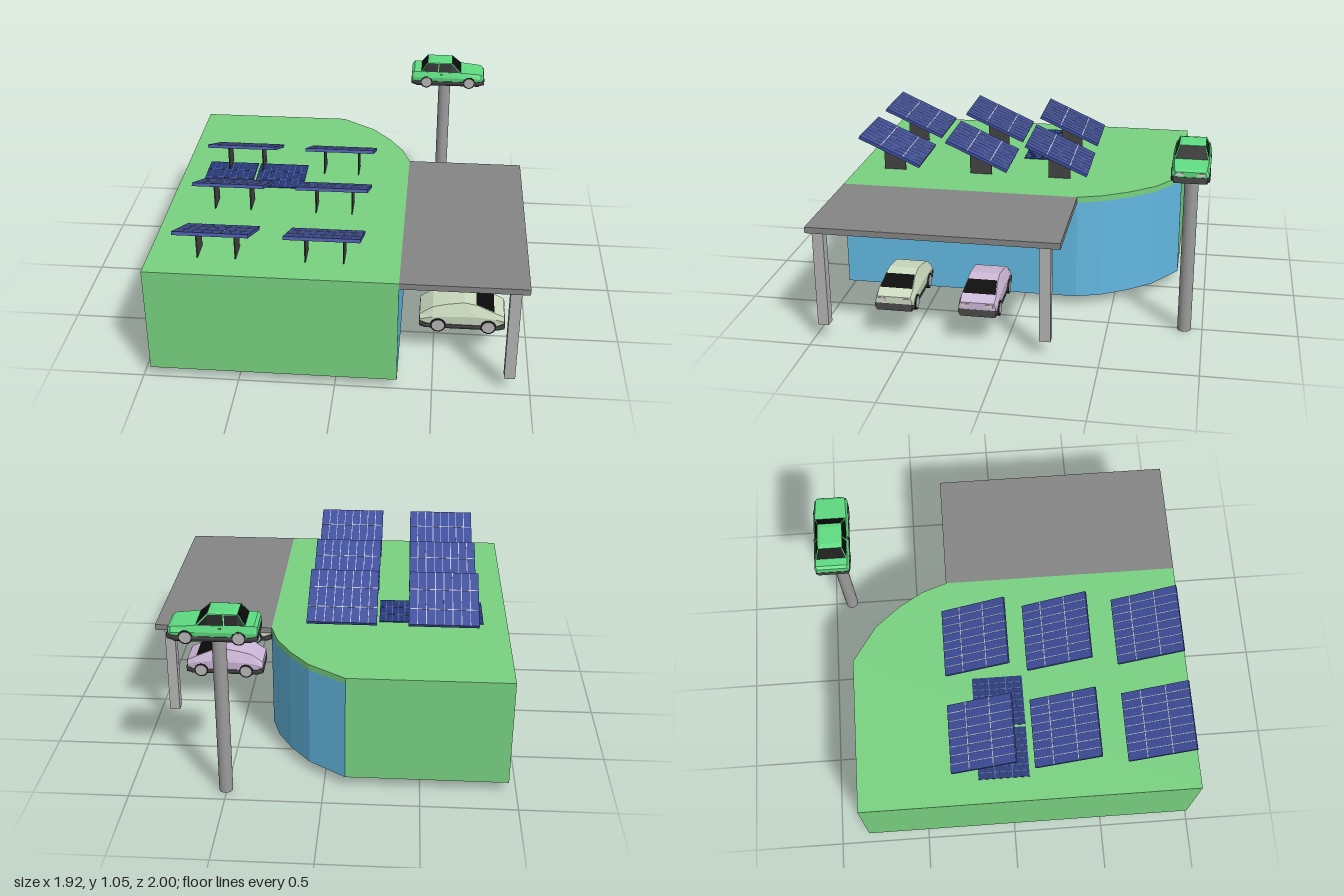
import * as THREE from 'three';

const mat = (color) => new THREE.MeshStandardMaterial({ color, flatShading: true, side: THREE.DoubleSide });
const M = {
  green: mat(0x78d180), blue: mat(0x62b8e2), slab: mat(0x858585), post: mat(0xb4b4b4), pole: mat(0x9c9c9c),
  panel: mat(0x3f4f9c), flatPanel: mat(0x263878), line: mat(0xb9bdd0), flatLine: mat(0x5565a5),
  support: mat(0x444444), glass: mat(0x0a0a0a), trim: mat(0x4a4a4a), under: mat(0x101010),
  tyre: mat(0x1c1c1c), hub: mat(0xb5b5b5), lamp: mat(0xd8d0d0),
  carGreen: mat(0x5fdc82), carPale: mat(0xccdcc0), carLilac: mat(0xcdb8d8),
};

function add(parent, name, geometry, material, x = 0, y = 0, z = 0) {
  const mesh = new THREE.Mesh(geometry, material);
  mesh.name = name;
  mesh.position.set(x, y, z);
  parent.add(mesh);
  return mesh;
}
const box = (parent, name, m, w, h, d, x, y, z) => add(parent, name, new THREE.BoxGeometry(w, h, d), m, x, y, z);

function fromTriangles(points) {
  const g = new THREE.BufferGeometry();
  g.setAttribute('position', new THREE.Float32BufferAttribute(points.flat(), 3));
  g.computeVertexNormals();
  return g;
}
const quad = (a, b, c, d) => fromTriangles([a, b, c, a, c, d]);

// Mirrored hull along x; each section is [x, yLow, yMid, yTop, halfLow, halfMid, halfTop]
function loft(sections) {
  const rings = sections.map(([x, yl, ym, yt, l, m, t]) =>
    [[x, yt, t], [x, ym, m], [x, yl, l], [x, yl, -l], [x, ym, -m], [x, yt, -t]]);
  const tris = [];
  for (let i = 0; i < rings.length - 1; i++) {
    for (let j = 0; j < 6; j++) {
      const k = (j + 1) % 6, a = rings[i][j], b = rings[i + 1][j], c = rings[i + 1][k], d = rings[i][k];
      tris.push(a, d, c, a, c, b);
    }
  }
  const first = rings[0], last = rings[rings.length - 1];
  for (let k = 1; k < 5; k++) {
    tris.push(first[0], first[k + 1], first[k], last[0], last[k], last[k + 1]);
  }
  return fromTriangles(tris);
}

// Thin square bar between two points
function bar(parent, name, m, a, b, t) {
  const p = new THREE.Vector3(...a), q = new THREE.Vector3(...b);
  const mesh = box(parent, name, m, t, t, p.distanceTo(q), 0, 0, 0);
  mesh.position.copy(p).add(q).multiplyScalar(0.5);
  mesh.lookAt(q);
}

function addWheels(car, xs, r, z) {
  for (const x of xs) {
    for (const s of [-1, 1]) {
      add(car, 'tyre', new THREE.CylinderGeometry(r, r, 0.03, 20).rotateX(Math.PI / 2), M.tyre, x, r, s * z);
      add(car, 'hubcap', new THREE.CylinderGeometry(r * 0.8, r * 0.8, 0.034, 20).rotateX(Math.PI / 2), M.hub, x, r, s * z);
    }
  }
}

// Three-box car with glazed cabin, nose towards +x
function saloon(paint) {
  const car = new THREE.Group();
  add(car, 'carBody', loft([
    [-0.22, 0.035, 0.06, 0.088, 0.082, 0.088, 0.078],
    [-0.205, 0.03, 0.065, 0.1, 0.09, 0.095, 0.085],
    [0.08, 0.03, 0.065, 0.097, 0.09, 0.096, 0.086],
    [0.2, 0.03, 0.06, 0.086, 0.086, 0.092, 0.08],
    [0.215, 0.035, 0.055, 0.076, 0.076, 0.08, 0.072]]), paint);
  add(car, 'sillAndBumper', loft([
    [-0.222, 0.02, 0.04, 0.05, 0.08, 0.09, 0.09],
    [-0.19, 0.014, 0.03, 0.042, 0.088, 0.0965, 0.0965],
    [0.18, 0.014, 0.03, 0.042, 0.086, 0.0955, 0.0955],
    [0.221, 0.02, 0.04, 0.052, 0.076, 0.084, 0.084]]), M.trim);
  box(car, 'underside', M.under, 0.38, 0.006, 0.165, 0, 0.013, 0);
  // Cabin: dark glass, roof panel and pillars
  add(car, 'cabinGlass', loft([
    [-0.165, 0.08, 0.085, 0.096, 0.08, 0.084, 0.082],
    [-0.125, 0.08, 0.097, 0.15, 0.08, 0.084, 0.062],
    [0.02, 0.08, 0.097, 0.15, 0.08, 0.084, 0.062],
    [0.078, 0.08, 0.085, 0.096, 0.08, 0.084, 0.082]]), M.glass);
  add(car, 'roof', loft([
    [-0.125, 0.146, 0.149, 0.151, 0.066, 0.065, 0.055],
    [-0.1, 0.146, 0.15, 0.156, 0.067, 0.066, 0.052],
    [0, 0.146, 0.15, 0.155, 0.067, 0.066, 0.052],
    [0.022, 0.146, 0.149, 0.151, 0.066, 0.065, 0.055]]), paint);
  for (const s of [-1, 1]) {
    for (const [x0, x1] of [[-0.163, -0.125], [-0.06, -0.055], [0.076, 0.02]]) {
      bar(car, 'pillar', paint, [x0, 0.096, s * 0.083], [x1, 0.15, s * 0.063], 0.006);
    }
    box(car, 'headlight', M.lamp, 0.01, 0.014, 0.035, 0.214, 0.064, s * 0.052);
    box(car, 'doorHandle', M.trim, 0.015, 0.004, 0.004, -0.04, 0.084, s * 0.092);
  }
  addWheels(car, [-0.13, 0.128], 0.036, 0.08);
  return car;
}

// Fastback car with plain sides, nose towards +x
function fastback(paint) {
  const car = new THREE.Group();
  add(car, 'carBody', loft([
    [-0.224, 0.04, 0.07, 0.095, 0.09, 0.097, 0.085],
    [-0.155, 0.035, 0.09, 0.143, 0.097, 0.102, 0.084],
    [-0.08, 0.035, 0.095, 0.16, 0.098, 0.103, 0.08],
    [0.01, 0.035, 0.1, 0.173, 0.098, 0.103, 0.078],
    [0.08, 0.035, 0.1, 0.16, 0.098, 0.103, 0.08],
    [0.175, 0.035, 0.09, 0.122, 0.098, 0.102, 0.09],
    [0.222, 0.04, 0.075, 0.1, 0.09, 0.097, 0.088]]), paint);
  add(car, 'windscreen', quad([0.072, 0.164, 0.076], [0.168, 0.127, 0.086],
    [0.168, 0.127, -0.086], [0.072, 0.164, -0.076]), M.glass);
  add(car, 'sillAndBumper', loft([
    [-0.226, 0.025, 0.045, 0.062, 0.09, 0.099, 0.099],
    [-0.19, 0.018, 0.035, 0.047, 0.095, 0.104, 0.104],
    [0.19, 0.018, 0.035, 0.047, 0.095, 0.104, 0.104],
    [0.227, 0.025, 0.045, 0.064, 0.09, 0.099, 0.099]]), M.trim);
  box(car, 'underside', M.under, 0.4, 0.006, 0.18, 0, 0.017, 0);
  for (const s of [-1, 1]) box(car, 'headlight', M.lamp, 0.01, 0.016, 0.04, 0.221, 0.085, s * 0.062);
  addWheels(car, [-0.125, 0.14], 0.041, 0.09);
  return car;
}

// Panel with light grid lines; rows are fractions of its depth
function solarPanel(w, h, d, face, lineMat, cols, rows) {
  const g = new THREE.Group();
  box(g, 'panelSheet', face, w, h, d, 0, 0, 0);
  for (let i = 1; i < cols; i++) box(g, 'gridLine', lineMat, 0.004, 0.002, d, (i / cols - 0.5) * w, h / 2 + 0.0005, 0);
  for (const f of rows) box(g, 'gridLine', lineMat, w, 0.002, 0.005, 0, h / 2 + 0.0005, (f - 0.5) * d);
  return g;
}

function place(parent, child, name, x, y, z) {
  child.name = name;
  child.position.set(x, y, z);
  parent.add(child);
  return child;
}

export function createModel() {
  const root = new THREE.Group();
  root.name = 'solarCarPark';

  // Building: walls edge by edge, floor and roof slab
  const plan = [[-0.96, 1], [0.32, 1], [0.32, -0.3], [0.275, -0.435], [0.195, -0.57], [0.085, -0.705], [-0.11, -0.84], [-0.96, -0.84]];
  const y0 = 0.055, y1 = 0.61;
  plan.forEach(([x, z], i) => {
    const [u, v] = plan[(i + 1) % plan.length];
    const blue = i >= 1 && i <= 5;
    add(root, blue ? 'glassWall' : 'greenWall', quad([x, y0, z], [u, y0, v], [u, y1, v], [x, y1, z]), blue ? M.blue : M.green);
  });
  const outline = new THREE.Shape(plan.map(([x, z]) => new THREE.Vector2(x, -z)));
  add(root, 'floor', new THREE.ShapeGeometry(outline).rotateX(Math.PI / 2).scale(1, 1, -1).rotateZ(0), M.green, 0, y0, 0)
    .geometry = new THREE.ShapeGeometry(outline).rotateX(-Math.PI / 2);
  add(root, 'roofSlab', new THREE.ExtrudeGeometry(outline, { depth: 0.032, bevelEnabled: false }).rotateX(-Math.PI / 2), M.green, 0, y1, 0);

  // Canopy on two posts
  box(root, 'canopy', M.slab, 0.64, 0.032, 1.3, 0.64, 0.626, 0.35);
  for (const z of [0.948, -0.218]) box(root, 'canopyPost', M.post, 0.056, 0.53, 0.058, 0.893, 0.345, z);

  // Tilted solar panels on thin plate supports
  const tilt = 0.425, slope = Math.tan(tilt);
  for (const z of [0.79, 0.291, -0.157]) {
    for (const x of [-0.61, -0.062]) {
      const p = solarPanel(0.378, 0.018, 0.378, M.panel, M.line, 8, [0.29, 0.66]);
      place(root, p, 'solarPanel', x, 0.773, z).rotation.x = -tilt;
      const top = (u) => 0.765 + slope * u;
      const side = new THREE.Shape([[-0.069, 0.64], [0.055, 0.64], [0.055, top(0.055)], [-0.069, top(-0.069)]]
        .map((q) => new THREE.Vector2(...q)));
      for (const s of [-1, 1]) {
        add(root, 'panelSupport', new THREE.ExtrudeGeometry(side, { depth: 0.006, bevelEnabled: false })
          .translate(0, 0, -0.003).rotateY(-Math.PI / 2), M.support, x + s * 0.097, 0, z);
      }
    }
  }

  // Flat panels lying on the roof
  for (const x of [-0.691, -0.4]) {
    place(root, solarPanel(0.277, 0.006, 0.275, M.flatPanel, M.flatLine, 8, [0.33, 0.67]), 'flatPanel', x, 0.644, -0.052);
  }

  // Display column and cars
  add(root, 'column', new THREE.CylinderGeometry(0.036, 0.036, 0.91, 24), M.pole, 0.505, 0.455, -0.905);
  place(root, saloon(M.carGreen), 'displayCar', 0.525, 0.89, -0.902);
  place(root, fastback(M.carPale), 'parkedCarFront', 0.645, 0.143, 0.58);
  place(root, fastback(M.carLilac), 'parkedCarRear', 0.645, 0.143, 0.14);
  return root;
}
